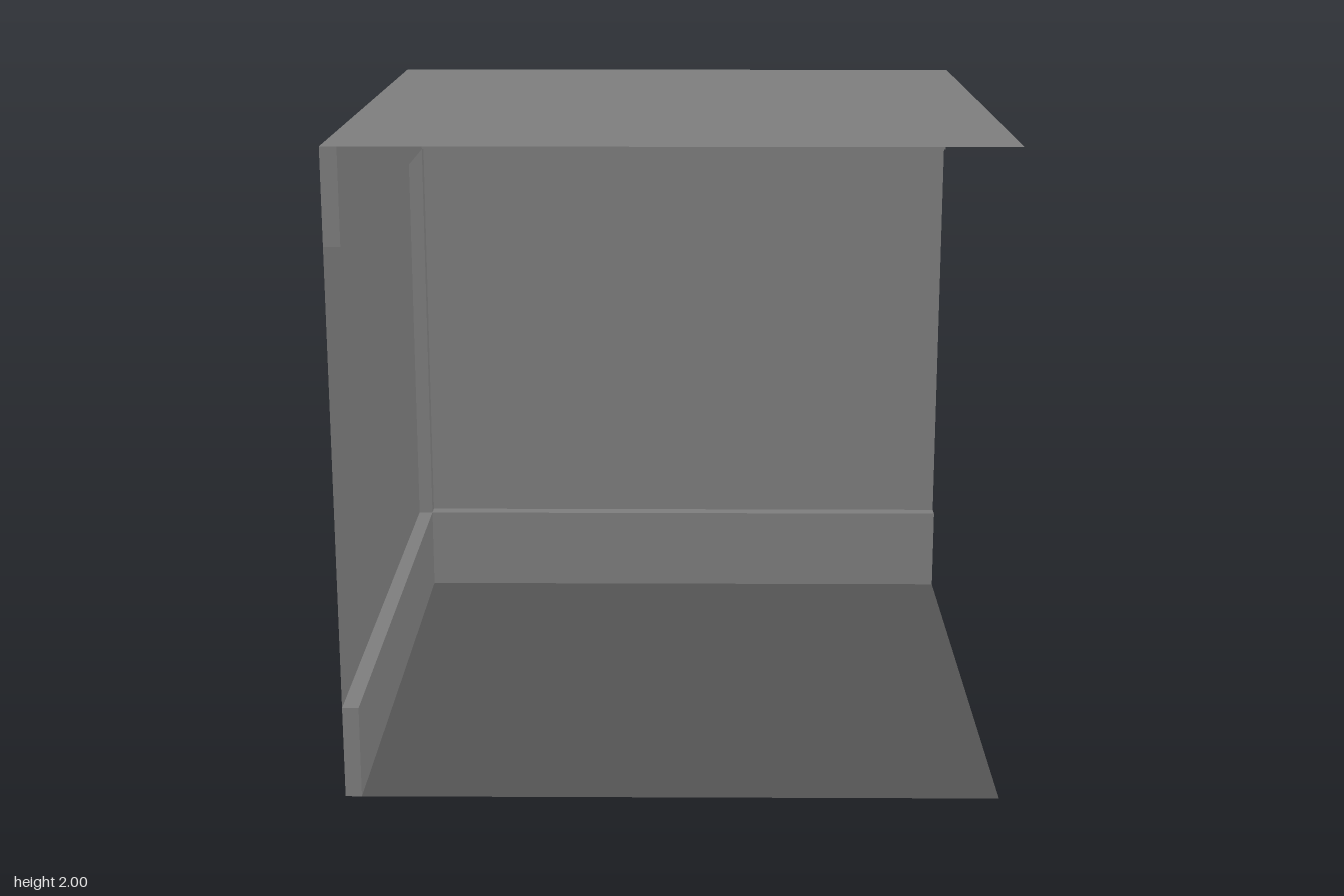
import * as THREE from 'three';

const EDGE = 1;      // outer plane of the room
const INSET = 0.95;  // inner plane of skirting, cornice and post
const LOW = 0.29;    // top of the skirting
const HIGH = 1.71;   // underside of the cornice

// Flat quads, four corners each, listed around the face
function quads(list) {
  const pos = [];
  for (const [a, b, c, d] of list) pos.push(...a, ...b, ...c, ...a, ...c, ...d);
  const g = new THREE.BufferGeometry();
  g.setAttribute('position', new THREE.Float32BufferAttribute(pos, 3));
  g.computeVertexNormals();
  return g;
}

export function createModel() {
  const group = new THREE.Group();
  const wallMat = new THREE.MeshStandardMaterial({ color: 0x808080, side: THREE.DoubleSide });
  wallMat.name = 'wall grey';
  const floorMat = new THREE.MeshStandardMaterial({ color: 0x555555, side: THREE.DoubleSide });
  floorMat.name = 'floor dark grey';

  const add = (name, geometry, material) => {
    const mesh = new THREE.Mesh(geometry, material);
    mesh.name = name;
    group.add(mesh);
  };

  // Thin wall skin: the profile (height, distance out) steps inward at the bands
  const profile = [
    [0, EDGE], [0, INSET], [LOW, INSET], [LOW, EDGE],
    [HIGH, EDGE], [HIGH, INSET], [2, INSET],
  ];
  const wall = (place) => {
    const faces = [];
    for (let i = 0; i < profile.length - 1; i++) {
      const [y0, d0] = profile[i], [y1, d1] = profile[i + 1];
      faces.push([place(-INSET, y0, d0), place(1, y0, d0), place(1, y1, d1), place(-INSET, y1, d1)]);
    }
    // End caps of the two bands at the open side
    for (const [y0, y1] of [[0, LOW], [HIGH, 2]]) {
      faces.push([place(1, y0, EDGE), place(1, y0, INSET), place(1, y1, INSET), place(1, y1, EDGE)]);
    }
    return quads(faces);
  };
  add('backWall', wall((along, y, out) => [along, y, -out]), wallMat);
  add('sideWall', wall((along, y, out) => [-out, y, along]), wallMat);

  // Corner post where the walls meet
  const t = EDGE - INSET, mid = -(EDGE + INSET) / 2;
  add('cornerPost', new THREE.BoxGeometry(t, 2, t).translate(mid, 1, mid), wallMat);

  // Ceiling sheet over everything
  add('ceiling', new THREE.PlaneGeometry(2, 2).rotateX(-Math.PI / 2).translate(0, 2, 0), wallMat);

  // Floor sheet between the skirting and the open sides
  const size = EDGE + INSET;
  add('floor', new THREE.PlaneGeometry(size, size).rotateX(-Math.PI / 2).translate(t / 2, 0, t / 2), floorMat);

  return group;
}
